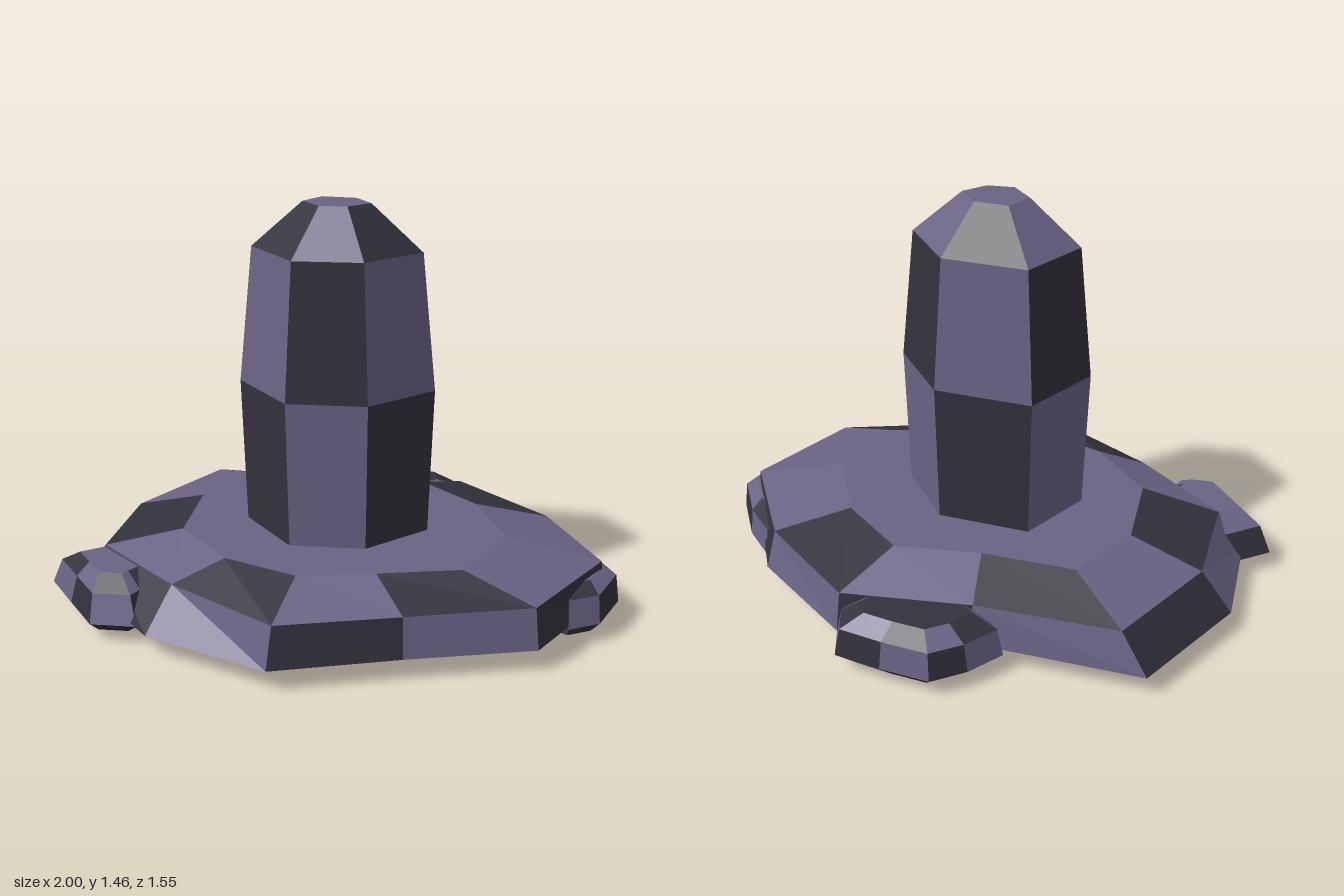
import * as THREE from 'three';

const lightStone = new THREE.MeshStandardMaterial({ color: 0x6a6385 });
lightStone.name = 'lightStone';
const darkStone = new THREE.MeshStandardMaterial({ color: 0x33323d });
darkStone.name = 'darkStone';

// scale a plan outline about a centre
const scaled = (pts, [cx, cz], s) => pts.map(([x, z]) => [cx + (x - cx) * s, cz + (z - cz) * s]);

// Faceted stack of rings with checkered panels. rings: [{ y, pts }] from bottom to top,
// outline runs from +x towards +z. first: 0 or 1 shifts the checker; top: 0 light, 1 dark.
function facetedStone(name, rings, first, top) {
  const faces = [[], []];
  const n = rings[0].pts.length;
  const at = (r, i) => {
    const [x, z] = rings[r].pts[i % n];
    return [x, rings[r].y, z];
  };
  const last = rings.length - 1;
  for (let r = 0; r < last; r++) {
    for (let i = 0; i < n; i++) {
      const a = at(r, i), b = at(r, i + 1), c = at(r + 1, i + 1), d = at(r + 1, i);
      faces[(first + r + i) % 2].push(...a, ...d, ...c, ...a, ...c, ...b);
    }
  }
  // flat caps
  for (let i = 1; i < n - 1; i++) {
    faces[top].push(...at(last, 0), ...at(last, i + 1), ...at(last, i));
    faces[1].push(...at(0, 0), ...at(0, i), ...at(0, i + 1));
  }
  const geo = new THREE.BufferGeometry();
  geo.setAttribute('position', new THREE.Float32BufferAttribute([...faces[0], ...faces[1]], 3));
  geo.addGroup(0, faces[0].length / 3, 0);
  geo.addGroup(faces[0].length / 3, faces[1].length / 3, 1);
  geo.computeVertexNormals();
  const mesh = new THREE.Mesh(geo, [lightStone, darkStone]);
  mesh.name = name;
  return mesh;
}

export function createModel() {
  const group = new THREE.Group();
  group.name = 'stonePillar';

  // broad base slab
  const rim = [[0.95, 0], [0.77, 0.427], [0.35, 0.593], [-0.06, 0.773], [-0.52, 0.64], [-0.9, 0.3],
    [-0.93, -0.11], [-0.73, -0.545], [-0.1, -0.56], [0.34, -0.64], [0.73, -0.38]];
  const shoulder = [[0.935, 0], [0.755, 0.41], [0.345, 0.577], [-0.05, 0.735], [-0.46, 0.53], [-0.8, 0.285],
    [-0.815, -0.1], [-0.63, -0.51], [-0.12, -0.535], [0.335, -0.615], [0.705, -0.35]];
  const deck = [[0.605, 0.04], [0.5, 0.34], [0.225, 0.435], [-0.03, 0.515], [-0.3, 0.44], [-0.52, 0.24],
    [-0.55, -0.07], [-0.42, -0.33], [-0.085, -0.34], [0.22, -0.395], [0.455, -0.225]];
  group.add(facetedStone('baseSlab', [
    { y: 0, pts: scaled(rim, [0, 0], 0.72) },
    { y: 0.08, pts: rim },
    { y: 0.225, pts: shoulder },
    { y: 0.3, pts: deck },
  ], 0, 0));

  // six-sided pillar with a tapered tip
  const hex = [[0.34, 0.045], [0.155, 0.265], [-0.12, 0.303], [-0.342, 0.09], [-0.21, -0.178], [0.14, -0.178]];
  const pillarLevels = [[0.3, 0.95], [0.82, 1], [1.3, 0.86], [1.46, 0.34]];
  group.add(facetedStone('pillar',
    pillarLevels.map(([y, s]) => ({ y, pts: scaled(hex, [0, 0.065], s) })), 1, 0));

  // small rocks half sunk into the rim of the slab
  const rocks = [
    { name: 'backRock', centre: [0.06, -0.58], first: 0, top: 1,
      levels: [[0.015, 0.73], [0.07, 1], [0.175, 0.93], [0.225, 0.64]],
      pts: [[0.34, -0.64], [0.25, -0.45], [-0.05, -0.42], [-0.24, -0.57], [-0.155, -0.69], [-0.05, -0.778],
        [0.13, -0.77], [0.3, -0.75]] },
    { name: 'leftRock', centre: [0.82, -0.02], first: 0, top: 0,
      levels: [[0.015, 0.75], [0.07, 1], [0.17, 0.93], [0.2, 0.65]],
      pts: [[1, -0.02], [0.95, 0.17], [0.85, 0.24], [0.68, 0.15], [0.66, -0.15], [0.77, -0.3], [0.89, -0.19]] },
    { name: 'rightRock', centre: [-0.74, 0.39], first: 1, top: 0,
      levels: [[0.015, 0.65], [0.07, 1], [0.17, 0.82], [0.22, 0.5]],
      pts: [[-0.5, 0.42], [-0.56, 0.51], [-0.58, 0.57], [-0.74, 0.59], [-0.87, 0.45], [-1, 0.31],
        [-0.84, 0.17], [-0.62, 0.26]] },
  ];
  for (const { name, centre, first, top, levels, pts } of rocks) {
    group.add(facetedStone(name, levels.map(([y, s]) => ({ y, pts: scaled(pts, centre, s) })), first, top));
  }
  return group;
}
